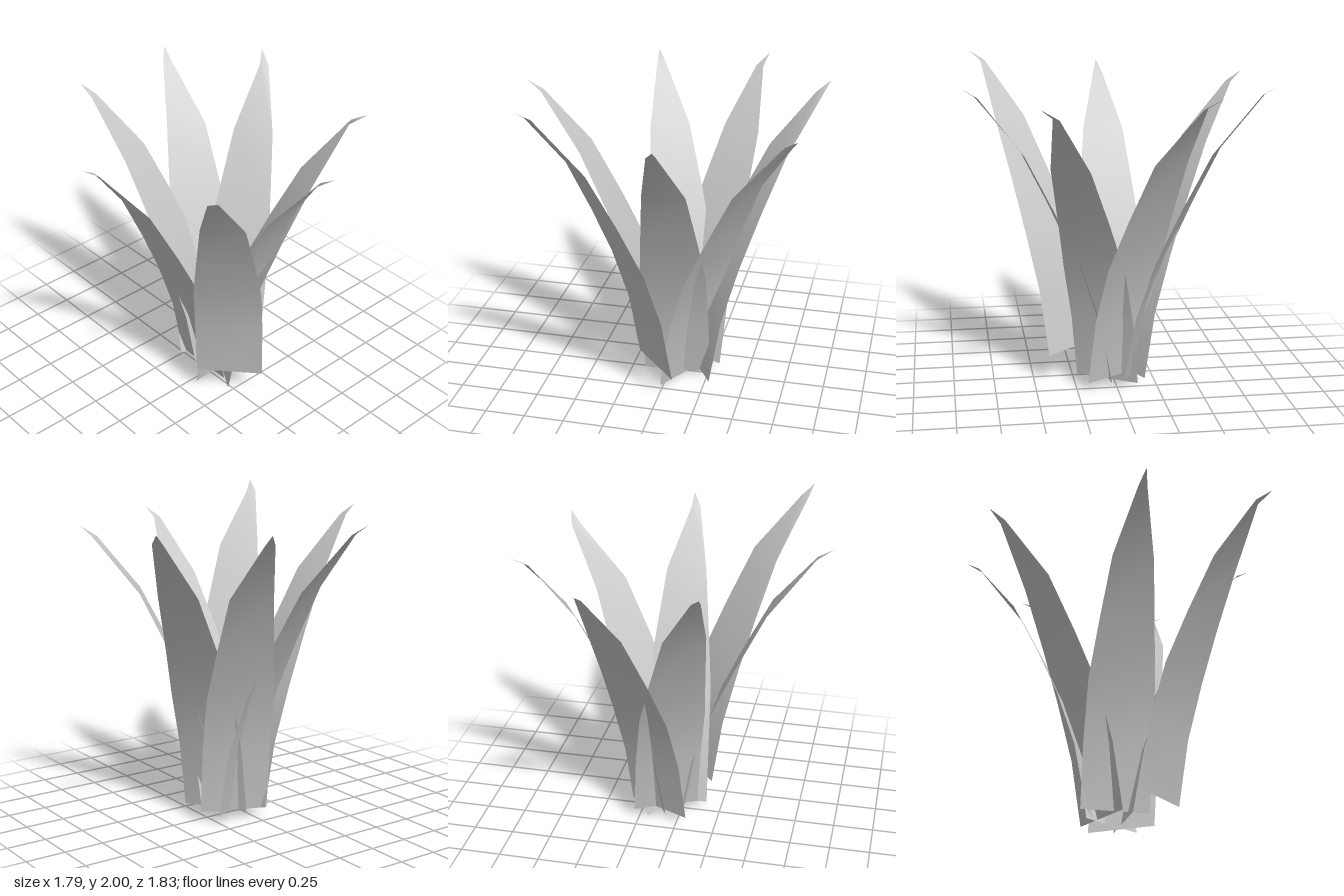
import * as THREE from 'three';

// Shared blade profile, base to tip: [height, outward reach, half width]
const ROWS = [
  [0, 0, 0.21], [0.41, 0.075, 0.21], [0.76, 0.19, 0.205], [1.08, 0.335, 0.17],
  [1.43, 0.51, 0.128], [1.77, 0.775, 0.027], [1.83, 0.865, 0.002],
];

// Each blade: base position, outward direction (x, z),
// and sideways drift of the last two rows (neck and tip)
const BLADES = [
  { base: [-0.03, 0.07, -0.02], dir: [-1, 0], neck: 0, tip: 0 },
  { base: [-0.04, 0.17, 0.25], dir: [-0.74, 0.67], neck: -0.028, tip: 0 },
  { base: [0.055, 0.03, 0.045], dir: [0.06, 0.998], neck: -0.022, tip: 0 },
  { base: [0.09, 0, 0.04], dir: [0.851, 0.525], neck: 0.042, tip: 0 },
  { base: [0.18, 0.05, 0.005], dir: [0.85, -0.52], neck: 0.008, tip: 0.047 },
  { base: [0.126, 0.06, -0.118], dir: [0.4, -0.916], neck: 0.043, tip: 0.033 },
  { base: [0.087, 0.06, -0.08], dir: [-0.425, -0.905], neck: 0, tip: -0.006 },
];

// A flat, tapering strip that arches outward and hooks slightly at the tip
function bladeGeometry({ neck, tip }) {
  const positions = [];
  const index = [];
  const last = ROWS.length - 1;
  ROWS.forEach(([y, reach, half], i) => {
    const drift = i === last ? tip : i === last - 1 ? neck : 0;
    // the neck row turns to stay square to the hooked tip
    const slant = i === last - 1 ? (tip - neck) / 0.09 : 0;
    for (const side of [-1, 1]) {
      positions.push(drift + side * half, y, reach - side * half * slant);
    }
    if (i < last) {
      const a = i * 2;
      index.push(a, a + 1, a + 3, a, a + 3, a + 2);
    }
  });
  const geometry = new THREE.BufferGeometry();
  geometry.setAttribute('position', new THREE.Float32BufferAttribute(positions, 3));
  geometry.setIndex(index);
  geometry.computeVertexNormals();
  return geometry;
}

export function createModel() {
  const plant = new THREE.Group();
  plant.name = 'leafyPlant';
  const material = new THREE.MeshStandardMaterial({ color: 0xcccccc, side: THREE.DoubleSide });

  // Ring of leaves around the centre
  BLADES.forEach((blade, i) => {
    const leaf = new THREE.Mesh(bladeGeometry(blade), material);
    leaf.name = `leaf${i + 1}`;
    leaf.position.set(...blade.base);
    leaf.rotation.y = Math.atan2(blade.dir[0], blade.dir[1]);
    plant.add(leaf);
  });
  return plant;
}
